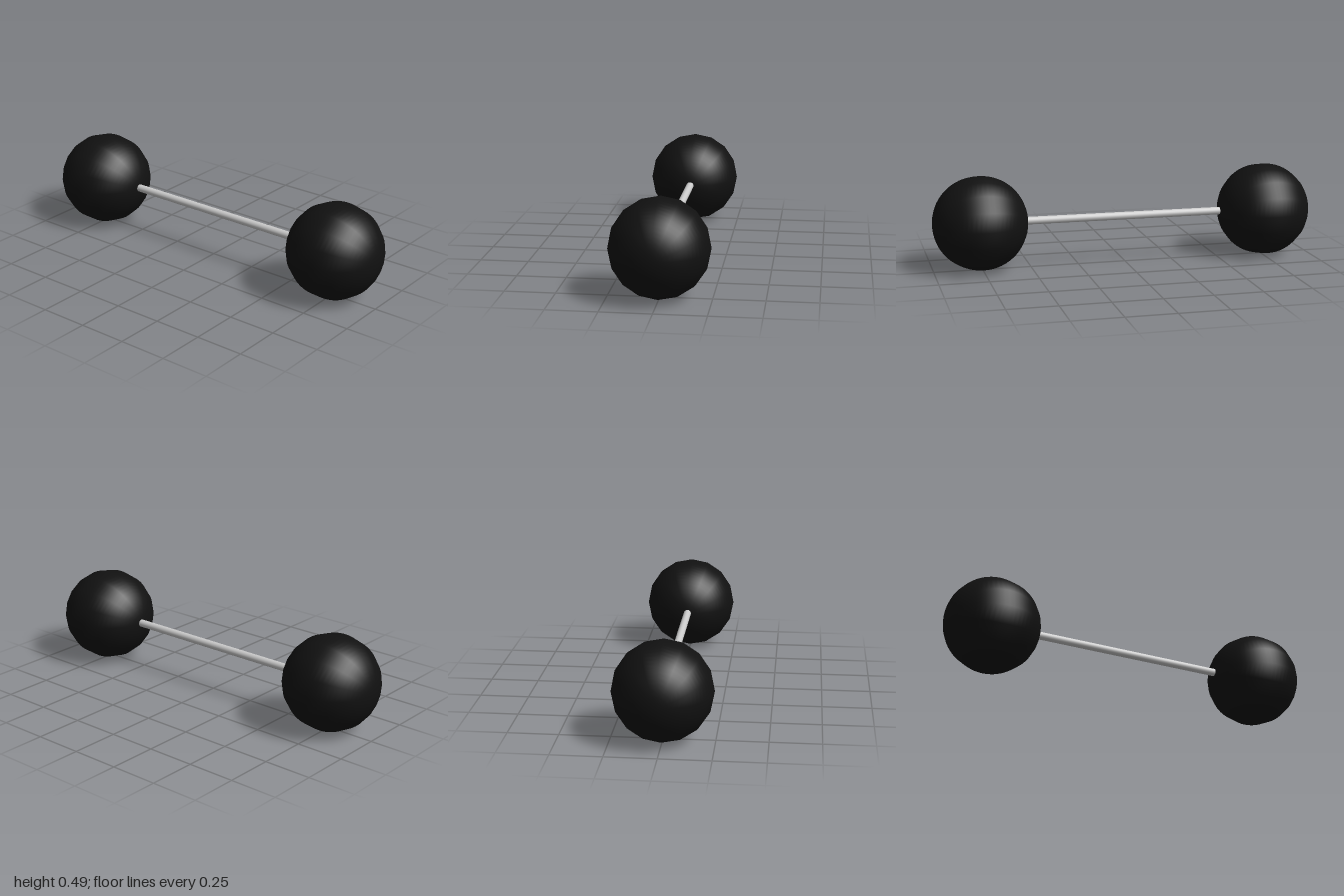
import * as THREE from 'three';

export function createModel() {
  const group = new THREE.Group();
  const radius = 0.243;
  const centre = 1 - radius;

  const black = new THREE.MeshStandardMaterial({ color: 0x111111 });
  const grey = new THREE.MeshStandardMaterial({ color: 0xcccccc });

  // Round weights, poles along the bar, 16 sides around it
  const ballGeometry = new THREE.SphereGeometry(radius, 16, 32);
  ballGeometry.rotateZ(Math.PI / 2);
  for (const [name, side] of [['leftWeight', 1], ['rightWeight', -1]]) {
    const ball = new THREE.Mesh(ballGeometry, black);
    ball.name = name;
    ball.position.set(side * centre, radius, 0);
    group.add(ball);
  }

  // Handle bar running into both weights
  const barGeometry = new THREE.CylinderGeometry(0.02, 0.02, 2 * centre, 16);
  barGeometry.rotateZ(Math.PI / 2);
  const bar = new THREE.Mesh(barGeometry, grey);
  bar.name = 'handleBar';
  bar.position.y = radius;
  group.add(bar);

  return group;
}
